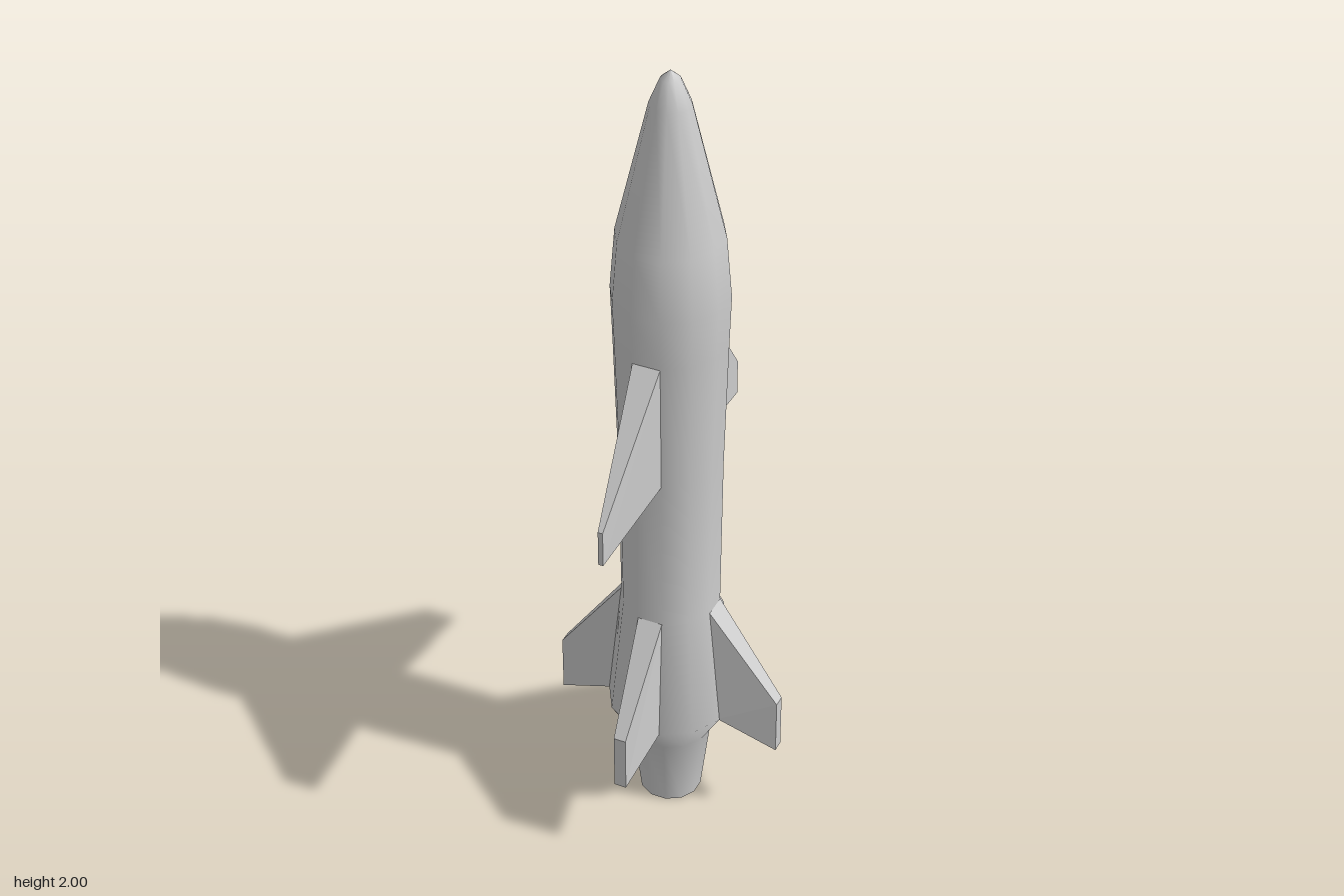
import * as THREE from 'three';

const SIDES = 12;
const HALF_SIDE = Math.PI / SIDES;

// Twelve-sided lathe with flats on the x and z axes; profile is [distance to flat, y]
function lathe(name, profile, material) {
  const pts = profile.map(([d, y]) => new THREE.Vector2(d / Math.cos(HALF_SIDE), y));
  const mesh = new THREE.Mesh(new THREE.LatheGeometry(pts, SIDES, HALF_SIDE), material);
  mesh.name = name;
  return mesh;
}

// Tapered fin pointing along +x; each corner is [x, y, half thickness]
function finGeometry(rootTop, tipTop, tipBottom, rootBottom) {
  const outline = [rootTop, tipTop, tipBottom, rootBottom];
  const front = outline.map(([x, y, t]) => [x, y, t]);
  const back = outline.map(([x, y, t]) => [x, y, -t]);
  const pos = [];
  const quad = (a, b, c, d) => pos.push(...a, ...b, ...c, ...a, ...c, ...d);
  quad(front[3], front[2], front[1], front[0]);
  quad(back[0], back[1], back[2], back[3]);
  for (let i = 0; i < 4; i++) {
    const j = (i + 1) % 4;
    quad(front[i], front[j], back[j], back[i]);
  }
  const geo = new THREE.BufferGeometry();
  geo.setAttribute('position', new THREE.Float32BufferAttribute(pos, 3));
  geo.computeVertexNormals();
  return geo;
}

export function createModel() {
  const grey = new THREE.MeshStandardMaterial({ color: 0xcccccc });
  grey.name = 'light grey';
  const model = new THREE.Group();
  model.name = 'rocket';

  // Hull from nozzle lip to nose tip
  model.add(lathe('hull', [
    [0.073, 0], [0.095, 0.19], [0.147, 0.28], [0.115, 0.6], [0.119, 1.0],
    [0.128, 1.33], [0.132, 1.45], [0.12, 1.6], [0.046, 1.92], [0.022, 1.98], [0, 2],
  ], grey));

  // Nozzle lip and hollow
  model.add(lathe('nozzleLip', [[0.045, 0], [0.073, 0]], grey));
  model.add(lathe('nozzleHollow', [[0.038, 0.09], [0.045, 0]], grey));
  model.add(lathe('nozzleEnd', [[0, 0.09], [0.038, 0.09]], grey));

  // Four tail fins
  const tail = finGeometry([0.112, 0.6, 0.031], [0.286, 0.36, 0.015], [0.286, 0.215, 0.015], [0.143, 0.28, 0.038]);
  for (let i = 0; i < 4; i++) {
    const fin = new THREE.Mesh(tail, grey);
    fin.name = 'tailFin' + (i + 1);
    fin.rotation.y = i * Math.PI / 2;
    model.add(fin);
  }

  // Front and back wings
  const wingGeo = finGeometry([0.125, 1.33, 0.034], [0.368, 1.035, 0.006], [0.368, 0.945, 0.006], [0.116, 1.0, 0.032]);
  for (const [name, side] of [['frontWing', -1], ['backWing', 1]]) {
    const wing = new THREE.Mesh(wingGeo, grey);
    wing.name = name;
    wing.rotation.y = side * Math.PI / 2;
    model.add(wing);
  }
  return model;
}
